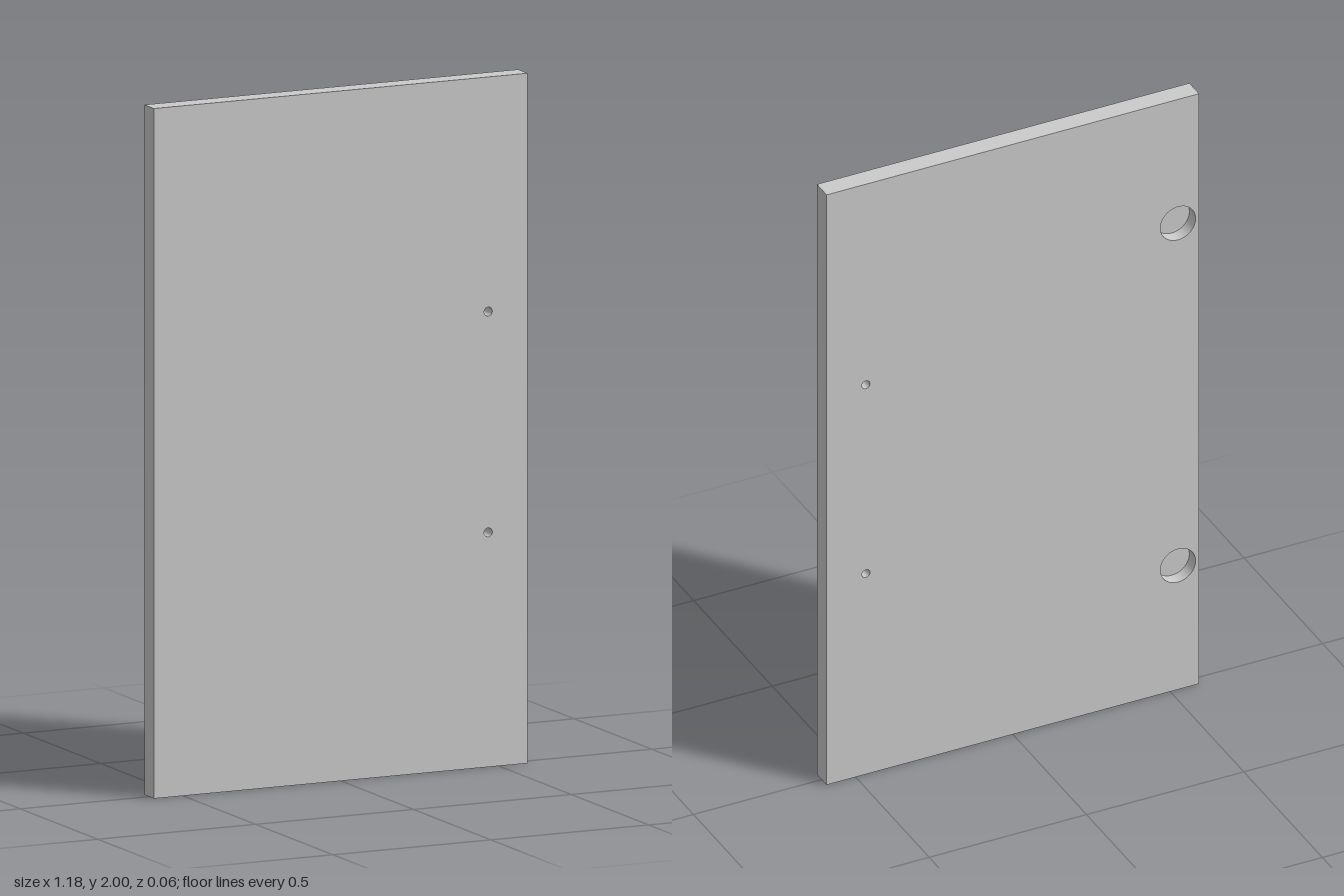
import * as THREE from 'three';

const W = 1.184, H = 2, T = 0.062;
const SEG = 48;

export function createModel() {
  const group = new THREE.Group();
  group.name = 'cabinetDoor';
  const solid = new THREE.MeshStandardMaterial({ color: 0xcccccc });
  const inner = new THREE.MeshStandardMaterial({ color: 0xcccccc, side: THREE.DoubleSide });

  // Handle holes go right through; hinge cups are blind bores in the back
  const handleHoles = [0.68, 1.32].map(y => ({ x: 0.467, y, r: 0.013, depth: T }));
  const hingeCups = [0.42, 1.58].map(y => ({ x: -0.525, y, r: 0.056, depth: 0.04 }));

  const add = (name, geometry, material, x, y, z) => {
    const mesh = new THREE.Mesh(geometry, material);
    mesh.name = name;
    mesh.position.set(x, y, z);
    group.add(mesh);
    return mesh;
  };

  // Rectangular face with round openings; sign -1 mirrors x for the back
  const face = (holes, sign) => {
    const s = new THREE.Shape([
      new THREE.Vector2(-W / 2, 0), new THREE.Vector2(W / 2, 0),
      new THREE.Vector2(W / 2, H), new THREE.Vector2(-W / 2, H),
    ]);
    for (const h of holes) {
      s.holes.push(new THREE.Path().absarc(sign * h.x, h.y, h.r, 0, Math.PI * 2, true));
    }
    return new THREE.ShapeGeometry(s, SEG / 2);
  };

  add('frontFace', face(handleHoles, 1), solid, 0, 0, T / 2);
  add('backFace', face([...handleHoles, ...hingeCups], -1), solid, 0, 0, -T / 2).rotation.y = Math.PI;

  // Rim: the four narrow sides of a box, without its front and back
  const rim = new THREE.BoxGeometry(W, H, T);
  rim.setIndex(Array.from(rim.index.array.slice(0, 24)));
  rim.clearGroups();
  add('panelEdges', rim, solid, 0, H / 2, 0);

  // Bore walls, opening on the back face
  const bore = (name, h) => {
    const wall = new THREE.CylinderGeometry(h.r, h.r, h.depth, SEG, 1, true).rotateX(Math.PI / 2);
    add(name, wall, inner, h.x, h.y, -T / 2 + h.depth / 2);
  };
  for (const h of handleHoles) bore('handleHole', h);
  for (const h of hingeCups) {
    bore('hingeCupWall', h);
    const floor = new THREE.CircleGeometry(h.r, SEG).rotateY(Math.PI);
    add('hingeCupFloor', floor, solid, h.x, h.y, -T / 2 + h.depth);
  }
  return group;
}
